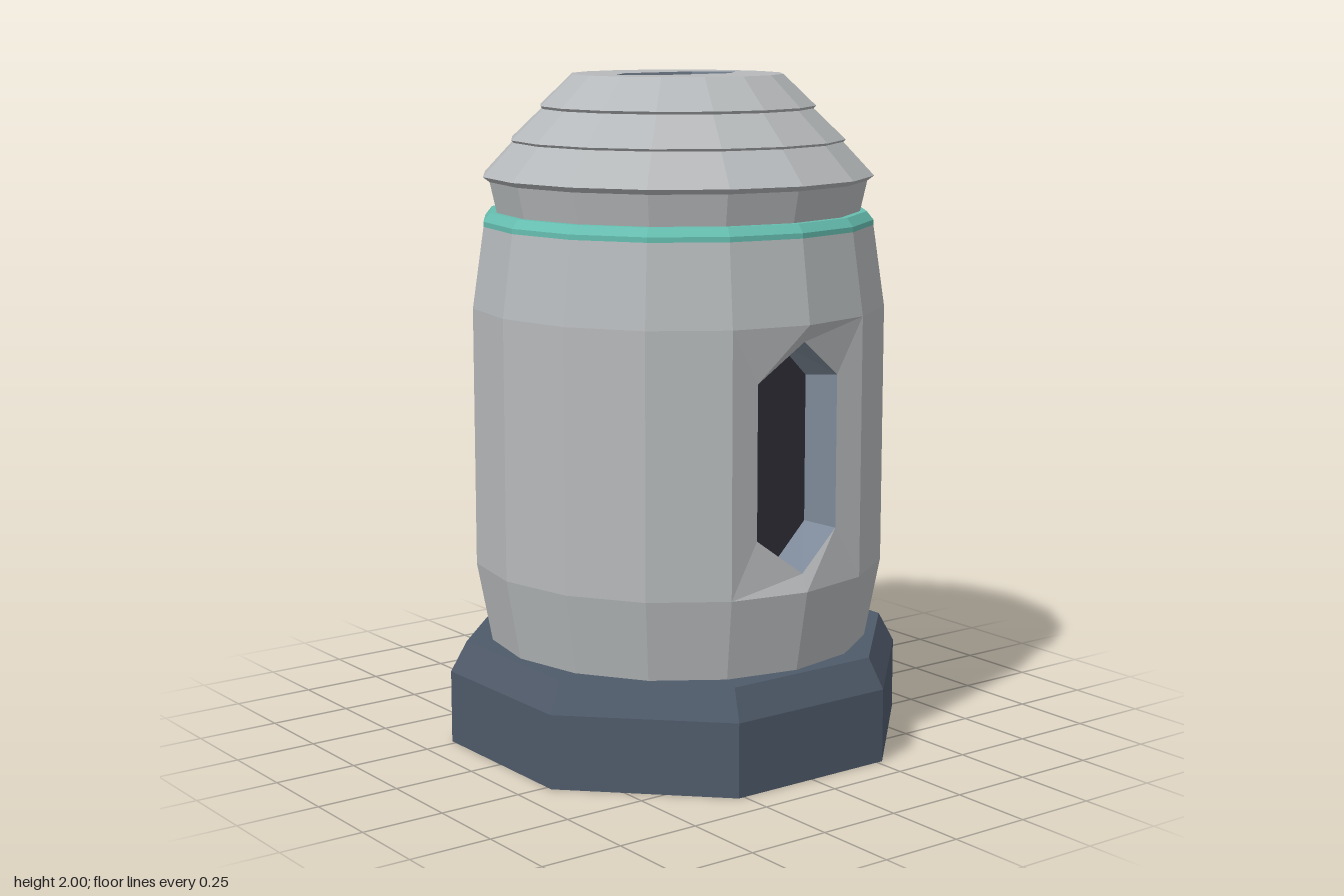
import * as THREE from 'three';

const SIDES = 16;

// Faceted copy of a geometry, so every face gets its own normal
function faceted(geo) {
  const g = geo.index ? geo.toNonIndexed() : geo;
  g.computeVertexNormals();
  return g;
}

function fromTriangles(points) {
  const g = new THREE.BufferGeometry();
  g.setAttribute('position', new THREE.Float32BufferAttribute(points.flat(), 3));
  return faceted(g);
}

// Skin between two loops, given clockwise as seen by the viewer
function bridge(a, b) {
  const t = [];
  a.forEach((p, k) => {
    const n = (k + 1) % a.length;
    t.push(p, b[k], a[n], a[n], b[k], b[n]);
  });
  return fromTriangles(t);
}

// Flat cap over a clockwise loop
function fan(loop) {
  const t = [];
  for (let k = 1; k < loop.length - 1; k++) t.push(loop[0], loop[k + 1], loop[k]);
  return fromTriangles(t);
}

function lathe(profile, segments = SIDES, start = 0, length = Math.PI * 2) {
  const pts = profile.map(([r, y]) => new THREE.Vector2(r, y));
  return faceted(new THREE.LatheGeometry(pts, segments, start, length));
}

// Upright hexagon, clockwise from upper left
function hexagon(w, side, tip, zSide, zTip) {
  const c = 0.935;
  return [[-w, c + side, zSide], [0, c + tip, zTip], [w, c + side, zSide],
    [w, c - side, zSide], [0, c - tip, zTip], [-w, c - side, zSide]];
}

export function createModel() {
  const model = new THREE.Group();
  const mat = (name, color) => {
    const m = new THREE.MeshStandardMaterial({ color });
    m.name = name;
    return m;
  };
  const shell = mat('light grey shell', 0xb6b9bb);
  const slate = mat('dark slate base', 0x4f5a6a);
  const steel = mat('blue grey lining', 0x7d8998);
  const teal = mat('teal band', 0x66beb0);
  const dark = mat('dark interior', 0x2f2d37);

  const add = (name, geo, material, parent = model) => {
    const m = new THREE.Mesh(geo, material);
    m.name = name;
    parent.add(m);
    return m;
  };

  // Octagonal base with a chamfered top edge
  const k = 1 / Math.cos(Math.PI / 8);
  const base = [[0, 0], [0.65, 0], [0.65, 0.22], [0.605, 0.31], [0, 0.31]];
  add('base', lathe(base.map(([r, y]) => [r * k, y]), 8, Math.PI / 8), slate);

  // Body: lower taper, two side walls leaving gaps front and back, shoulder
  add('lowerBody', lathe([[0.575, 0.31], [0.62, 0.55]]), shell);
  for (const s of [0, 1]) {
    add(s ? 'rightWall' : 'leftWall',
      lathe([[0.62, 0.55], [0.62, 1.32]], 6, Math.PI / 8 + s * Math.PI, Math.PI * 0.75), shell);
  }
  add('shoulder', lathe([[0.62, 1.32], [0.585, 1.56]]), shell);
  add('band', lathe([[0.585, 1.56], [0.585, 1.575], [0.565, 1.6], [0.545, 1.6]]), teal);
  add('neck', lathe([[0.545, 1.6], [0.565, 1.69], [0.585, 1.705]]), shell);

  // Stepped cap
  add('cap', lathe([[0.585, 1.705], [0.493, 1.803], [0.5, 1.81], [0.405, 1.9],
    [0.412, 1.908], [0.315, 2]]), shell);

  // Cap top with a hexagonal slot
  const slot = [[-0.22, 0], [-0.125, -0.092], [0.125, -0.092],
    [0.22, 0], [0.125, 0.092], [-0.125, 0.092]];
  const disc = new THREE.Shape();
  for (let i = 0; i < SIDES; i++) {
    const a = (i / SIDES) * Math.PI * 2;
    disc[i ? 'lineTo' : 'moveTo'](0.315 * Math.cos(a), 0.315 * Math.sin(a));
  }
  disc.closePath();
  disc.holes.push(new THREE.Path(slot.map(([x, z]) => new THREE.Vector2(x, -z))));
  add('capTop', faceted(new THREE.ShapeGeometry(disc).rotateX(-Math.PI / 2).translate(0, 2, 0)), shell);
  const slotAt = (y) => slot.map(([x, z]) => [x, y, z]);
  add('slotWalls', bridge(slotAt(2), slotAt(1.75)), steel);
  add('slotFloor', fan(slotAt(1.75)), dark);

  // Recessed hexagonal opening set into a gap of the body
  const opening = (name, rim, floor, floorMaterial) => {
    const g = new THREE.Group();
    g.name = name;
    const x = 0.62 * Math.sin(Math.PI / 8), z = 0.62 * Math.cos(Math.PI / 8);
    const frame = [[-x, 1.32, z], [0, 1.32, 0.62], [x, 1.32, z],
      [x, 0.55, z], [0, 0.55, 0.62], [-x, 0.55, z]];
    add(name + 'Surround', bridge(frame, rim), shell, g);
    add(name + 'Lining', bridge(rim, floor), steel, g);
    add(name + 'Panel', fan(floor), floorMaterial, g);
    model.add(g);
    return g;
  };

  // Front window
  opening('window', hexagon(0.145, 0.225, 0.335, 0.57, 0.597),
    hexagon(0.107, 0.215, 0.322, 0.475, 0.475), dark);

  // Back door with a handle
  const door = opening('door', hexagon(0.19, 0.23, 0.325, 0.572, 0.595),
    hexagon(0.182, 0.222, 0.315, 0.535, 0.535), shell);
  door.rotation.y = Math.PI;
  add('doorHandle', faceted(new THREE.BoxGeometry(0.045, 0.28, 0.03).translate(-0.135, 0.935, 0.55)), shell, door);

  return model;
}
